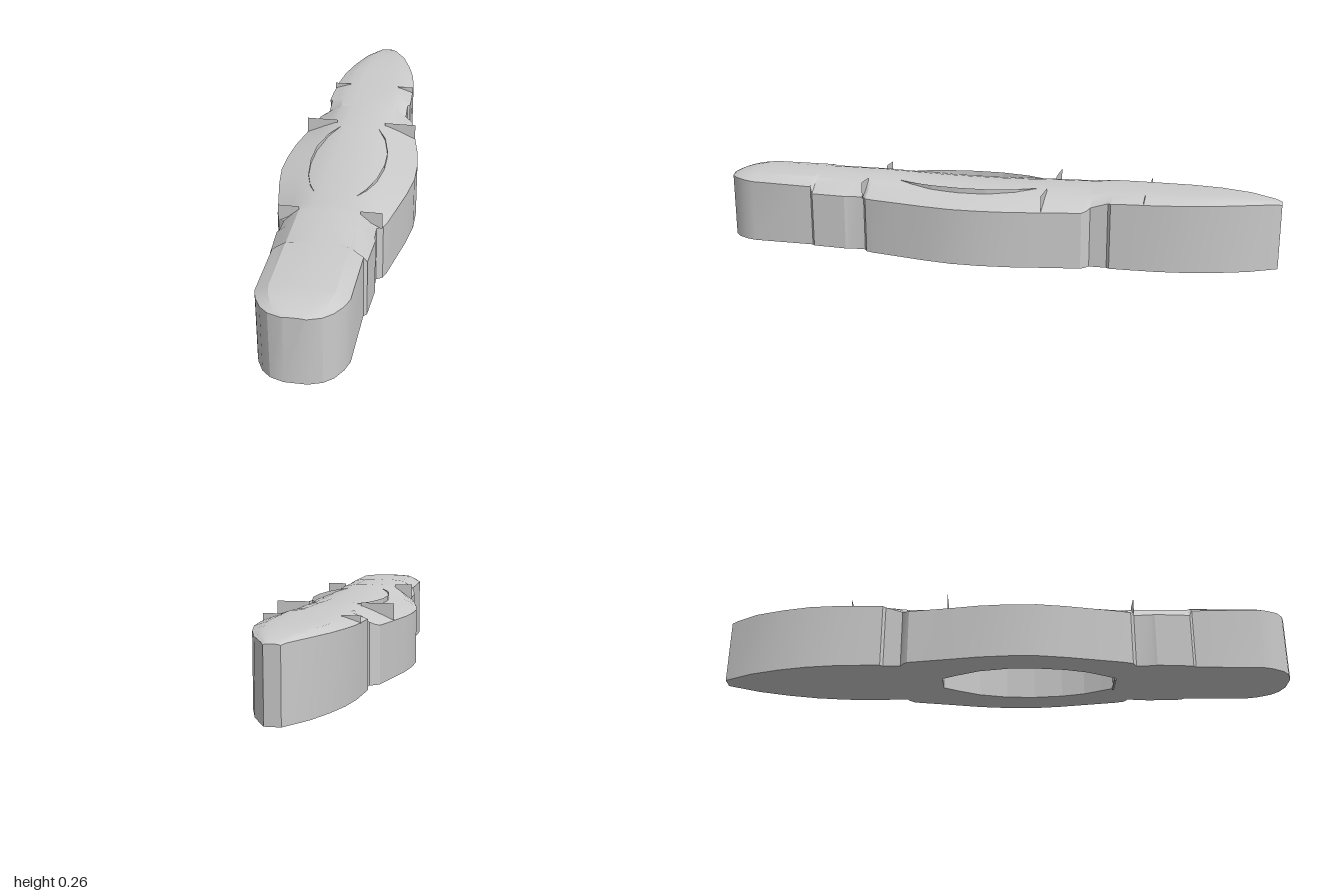
import * as THREE from 'three';
import { toCreasedNormals } from 'three/addons/utils/BufferGeometryUtils.js';

const BASE = 0.007;

// Hull stations from back to front: [z, half width, side wall top, deck top]
const STATIONS = [
  [-1, 0.025, 0.232, 0.235], [-0.98, 0.036, 0.236, 0.242], [-0.9, 0.08, 0.24, 0.253],
  [-0.8, 0.115, 0.24, 0.258], [-0.7, 0.14, 0.24, 0.258], [-0.6, 0.153, 0.238, 0.259],
  [-0.5, 0.157, 0.237, 0.26], [-0.44, 0.158, 0.235, 0.26], [-0.43, 0.149, 0.234, 0.26],
  [-0.37, 0.15, 0.215, 0.26], [-0.36, 0.166, 0.208, 0.26], [-0.345, 0.18, 0.203, 0.26],
  [-0.2, 0.206, 0.202, 0.257], [-0.1, 0.225, 0.202, 0.253], [0, 0.235, 0.202, 0.251],
  [0.1, 0.236, 0.202, 0.251], [0.2, 0.222, 0.202, 0.252], [0.3, 0.202, 0.202, 0.255],
  [0.4, 0.182, 0.202, 0.258], [0.43, 0.172, 0.202, 0.26], [0.443, 0.152, 0.202, 0.26],
  [0.5, 0.154, 0.202, 0.26], [0.515, 0.159, 0.202, 0.26], [0.64, 0.152, 0.202, 0.26],
  [0.65, 0.142, 0.225, 0.26], [0.88, 0.14, 0.23, 0.259], [0.92, 0.128, 0.232, 0.256],
  [0.96, 0.106, 0.234, 0.249], [0.985, 0.078, 0.234, 0.242], [1, 0.035, 0.234, 0.236],
];

// Opening in the underside: [z, half width]
const OPENING = [
  [-0.23, 0.04], [-0.18, 0.068], [-0.1, 0.106], [0, 0.128], [0.1, 0.13],
  [0.2, 0.118], [0.28, 0.096], [0.34, 0.066], [0.38, 0.045],
];

// Both sides of a symmetric plan as one closed loop of (x, z)
function planLoop(list) {
  const right = list.map(([z, w]) => new THREE.Vector2(w, z));
  const left = list.map(([z, w]) => new THREE.Vector2(-w, z)).reverse();
  return [...right, ...left];
}

// One cross-section from the bottom of the -x wall over the deck to the +x wall
function section([z, w, h, t]) {
  const a = Math.min(0.1, w * 0.7);
  const half = [
    [w, BASE], [w, h], [a + (w - a) * 0.42, h + (t - h) * 0.5],
    [a, h + (t - h) * 0.82], [a * 0.55, t - (t - h) * 0.03],
  ];
  return [...half.map(([x, y]) => [-x, y, z]), [0, t, z], ...half.reverse().map(([x, y]) => [x, y, z])];
}

function geometryFrom(positions) {
  const geometry = new THREE.BufferGeometry();
  geometry.setAttribute('position', new THREE.Float32BufferAttribute(positions, 3));
  geometry.computeVertexNormals();
  return geometry;
}

// Side walls, rounded deck and the two closed ends
function hullGeometry() {
  const rings = STATIONS.map(section);
  const out = [];
  const tri = (a, b, c) => out.push(...a, ...b, ...c);
  for (let i = 0; i < rings.length - 1; i++) {
    for (let j = 0; j < rings[i].length - 1; j++) {
      const a = rings[i][j], b = rings[i][j + 1], c = rings[i + 1][j + 1], d = rings[i + 1][j];
      tri(a, d, c);
      tri(a, c, b);
    }
  }
  const back = rings[0], front = rings[rings.length - 1];
  for (let j = 1; j < back.length - 1; j++) {
    tri(back[0], back[j], back[j + 1]);
    tri(front[0], front[j + 1], front[j]);
  }
  return toCreasedNormals(geometryFrom(out), 0.35);
}

// Upright thin wall following a closed loop
function wallGeometry(loop, y0, y1) {
  const out = [];
  loop.forEach((p, i) => {
    const q = loop[(i + 1) % loop.length];
    out.push(p.x, y0, p.y, p.x, y1, p.y, q.x, y1, q.y);
    out.push(p.x, y0, p.y, q.x, y1, q.y, q.x, y0, q.y);
  });
  return geometryFrom(out);
}

export function createModel() {
  const model = new THREE.Group();
  model.name = 'slenderHull';
  const material = new THREE.MeshStandardMaterial({ color: 0xcccccc, side: THREE.DoubleSide });
  const add = (name, geometry) => {
    const mesh = new THREE.Mesh(geometry, material);
    mesh.name = name;
    model.add(mesh);
    return mesh;
  };

  add('hullAndDeck', hullGeometry());

  // Flat underside with its long opening
  const opening = planLoop(OPENING);
  const plan = new THREE.Shape(planLoop(STATIONS));
  plan.holes.push(new THREE.Path(opening));
  add('underside', new THREE.ShapeGeometry(plan).rotateX(Math.PI / 2)).position.y = BASE;

  // Cavity wall, whose upper edge shows as two curved ridges on the deck
  add('cavityWall', wallGeometry(opening, BASE, 0.252));
  add('cavityEndLip', new THREE.BoxGeometry(0.09, 0.01, 0.006)).position.set(0, 0.005, 0.38);

  // Pairs of triangular fins standing across the deck shoulders: [z, inner x, outer x, foot y]
  const fins = [
    [-0.55, 0.095, 0.156, 0.235], [-0.21, 0.09, 0.203, 0.2], [0.442, 0.1, 0.17, 0.2],
  ];
  for (const [z, inner, outer, foot] of fins) {
    for (const side of [-1, 1]) {
      const fin = new THREE.Shape([
        new THREE.Vector2(side * inner, 0.26),
        new THREE.Vector2(side * inner, 0.24),
        new THREE.Vector2(side * outer, foot),
        new THREE.Vector2(side * outer, 0.26),
      ]);
      add(side > 0 ? 'leftFin' : 'rightFin', new THREE.ShapeGeometry(fin)).position.z = z;
    }
  }
  return model;
}
